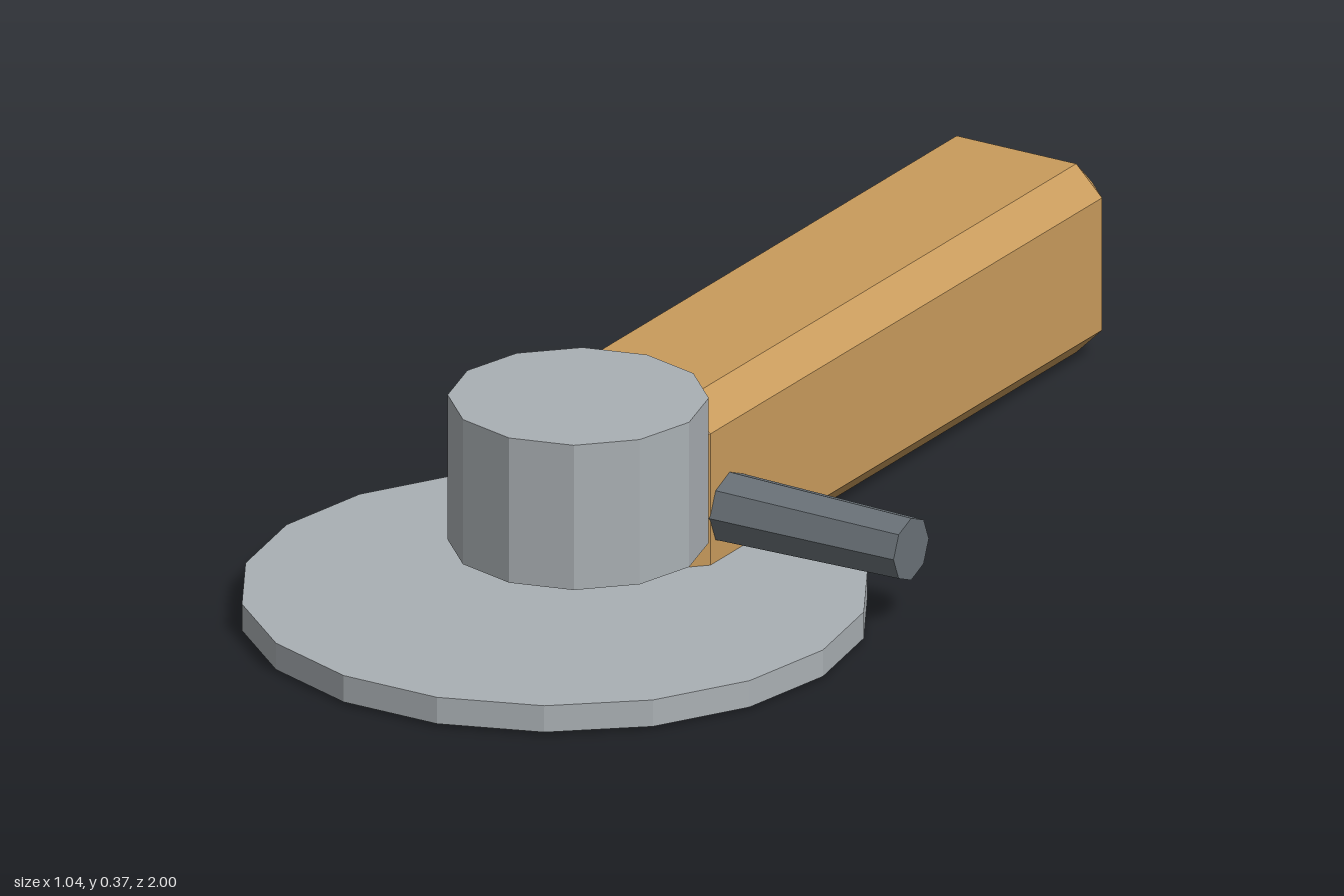
import * as THREE from 'three';
import { ConvexGeometry } from 'three/addons/geometries/ConvexGeometry.js';

const material = (name, color) => {
  const m = new THREE.MeshStandardMaterial({ color, flatShading: true });
  m.name = name;
  return m;
};

// Box with every edge cut at 45 degrees
function chamferedBox(w, h, d, c) {
  const points = [];
  for (const x of [-1, 1]) for (const y of [-1, 1]) for (const z of [-1, 1]) {
    for (let face = 0; face < 3; face++) {
      points.push(new THREE.Vector3(
        x * (w / 2 - (face === 0 ? 0 : c)),
        y * (h / 2 - (face === 1 ? 0 : c)),
        z * (d / 2 - (face === 2 ? 0 : c))));
    }
  }
  return new ConvexGeometry(points);
}

export function createModel() {
  const model = new THREE.Group();
  const wood = material('wood', 0xc99b5c);
  const steel = material('light steel', 0xaab0b4);
  const darkSteel = material('dark steel', 0x697177);

  const add = (name, geometry, mat, x, y, z) => {
    const mesh = new THREE.Mesh(geometry, mat);
    mesh.name = name;
    mesh.position.set(x, y, z);
    model.add(mesh);
    return mesh;
  };

  // Long wooden bar reaching to the back
  add('woodenBar', chamferedBox(0.332, 0.335, 1.32, 0.05), wood, 0, 0.1675, -0.34);

  // Flat round base, turned so an edge faces front
  const disc = new THREE.CylinderGeometry(0.52, 0.52, 0.047, 18);
  disc.rotateY(Math.PI / 18);
  add('baseDisc', disc, steel, 0, 0.0285, 0.488);

  // Drum at the front end of the bar
  add('drum', new THREE.CylinderGeometry(0.215, 0.215, 0.257, 12), steel, 0, 0.2375, 0.415);

  // Tapered side handle, narrow end outwards on the model's left
  const rod = new THREE.CylinderGeometry(0.063, 0.055, 0.42, 8);
  rod.rotateZ(Math.PI / 2);
  add('sideHandle', rod, darkSteel, 0.308, 0.135, 0.21);

  return model;
}
